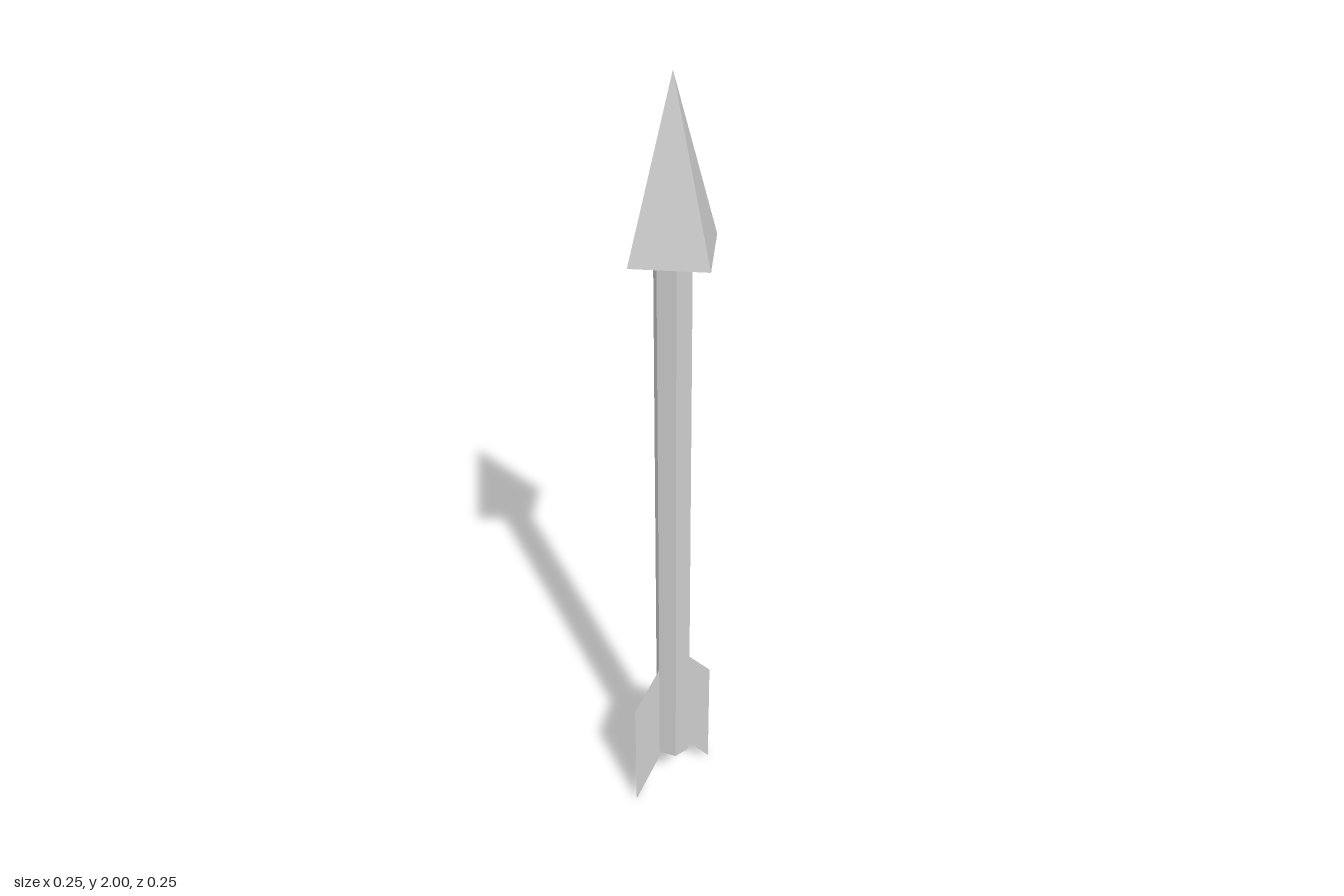
import * as THREE from 'three';

export function createModel() {
  const model = new THREE.Group();
  const material = new THREE.MeshStandardMaterial({ color: 0xcccccc, flatShading: true });
  const thin = material.clone();
  thin.side = THREE.DoubleSide;

  const add = (name, geometry, mat, y = 0) => {
    const mesh = new THREE.Mesh(geometry, mat);
    mesh.name = name;
    mesh.position.y = y;
    model.add(mesh);
    return mesh;
  };

  // Four-sided pyramid tip, corners on the axes
  add('arrowhead', new THREE.ConeGeometry(0.124, 0.4, 4), material, 1.8);

  // Six-sided shaft
  const bottom = 0.125, top = 1.6;
  add('shaft', new THREE.CylinderGeometry(0.045, 0.045, top - bottom, 6), material, (top + bottom) / 2);

  // Two flat swept fins, front and back
  const finShape = new THREE.Shape([
    [0.045, 0.11], [0.125, 0], [0.125, 0.32], [0.045, 0.42],
  ].map(([x, y]) => new THREE.Vector2(x, y)));
  const finGeometry = new THREE.ShapeGeometry(finShape);
  add('frontFin', finGeometry, thin).rotation.y = -Math.PI / 2;
  add('backFin', finGeometry, thin).rotation.y = Math.PI / 2;

  return model;
}
